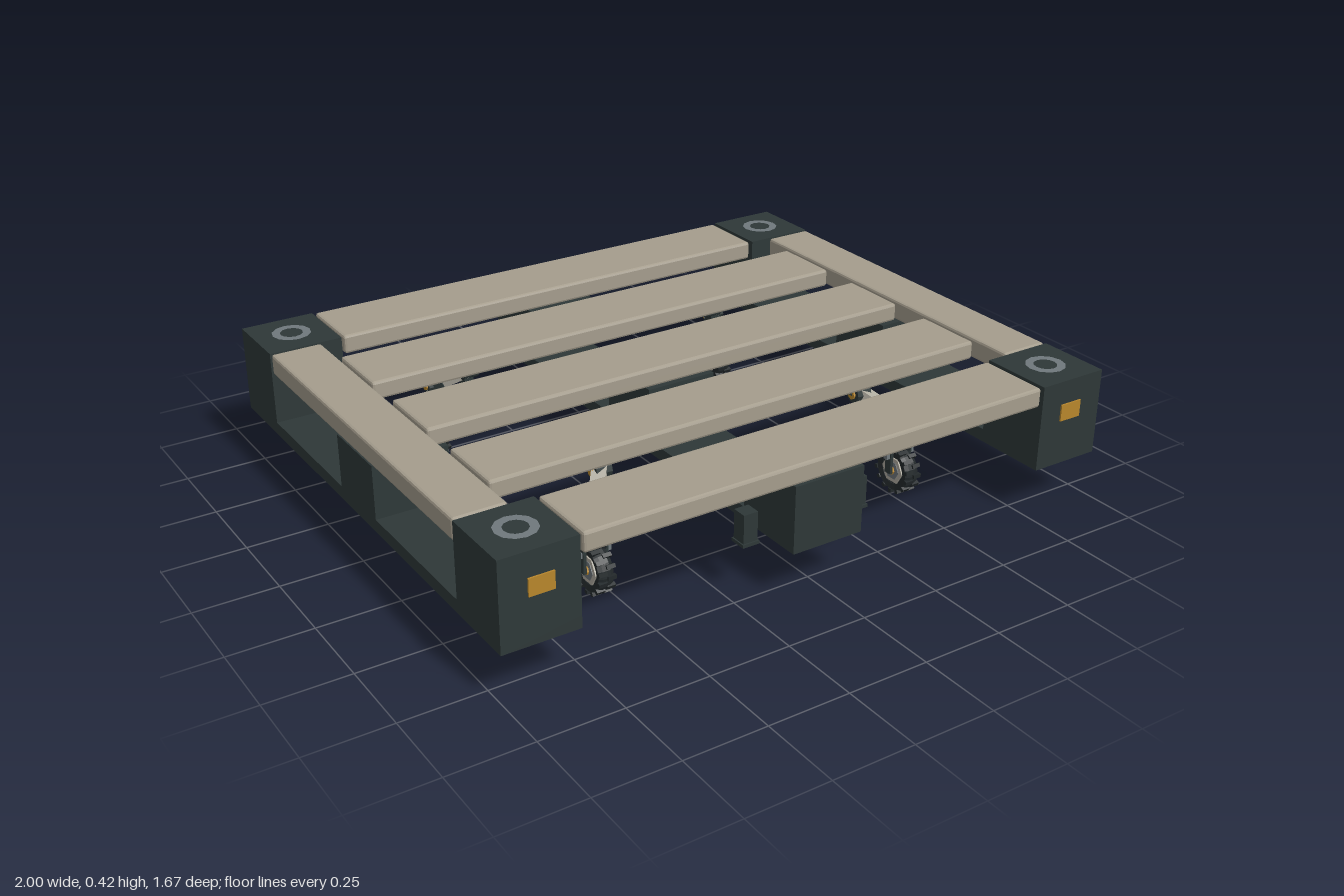
import * as THREE from 'three';
import { RoundedBoxGeometry } from 'three/addons/geometries/RoundedBoxGeometry.js';

const mat = (name, color) => {
  const m = new THREE.MeshStandardMaterial({ color, flatShading: true });
  m.name = name;
  return m;
};

export function createModel() {
  const root = new THREE.Group();
  root.name = 'pallet';
  const frame = mat('dark frame', 0x2e3838);
  const board = mat('beige board', 0xa59d8d);
  const amber = mat('amber', 0xb8862c);
  const steel = mat('grey steel', 0x70787c);
  const rubber = mat('black rubber', 0x23292b);
  const light = mat('pale metal', 0xb0aca0);

  const add = (parent, name, geo, m, x = 0, y = 0, z = 0) => {
    const mesh = new THREE.Mesh(geo, m);
    mesh.name = name;
    mesh.position.set(x, y, z);
    parent.add(mesh);
    return mesh;
  };
  const box = (parent, name, m, w, h, d, x, y, z) =>
    add(parent, name, new THREE.BoxGeometry(w, h, d), m, x, y, z);
  const plank = (name, w, h, d, x, y, z) =>
    add(root, name, new RoundedBoxGeometry(w, h, d, 1, 0.008), board, x, y, z);
  // Cylinder lying along x
  const axleCyl = (parent, name, m, r, len, sides, x, y, z) => {
    const c = add(parent, name, new THREE.CylinderGeometry(r, r, len, sides), m, x, y, z);
    c.rotation.z = Math.PI / 2;
    return c;
  };
  // Square bar running between two points
  const bar = (parent, name, m, a, b, w, h) => {
    const s = box(parent, name, m, w, h, a.distanceTo(b), 0, 0, 0);
    s.position.copy(a).lerp(b, 0.5);
    s.lookAt(b);
    return s;
  };

  // Three runners with their support blocks
  for (const x of [-0.885, 0, 0.885]) {
    box(root, 'runner', frame, 0.23, 0.04, 1.66, x, 0.17, 0);
    box(root, 'middleBlock', frame, 0.23, 0.165, 0.23, x, 0.2725, 0);
    const top = x === 0 ? 0.355 : 0.418;
    for (const s of [-1, 1]) {
      box(root, x === 0 ? 'centreEndBlock' : 'cornerBlock', frame,
        0.23, top - 0.19, 0.23, x, (top + 0.19) / 2, s * 0.715);
    }
  }

  // Corner fittings: top ring and amber plate
  for (const sx of [-1, 1]) for (const sz of [-1, 1]) {
    const ring = add(root, 'cornerRing', new THREE.RingGeometry(0.035, 0.06, 12), steel,
      sx * 0.885, 0.42, sz * 0.715);
    ring.rotation.x = -Math.PI / 2;
    box(root, 'cornerPlate', amber, 0.075, 0.052, 0.008, sx * 0.882, 0.318, sz * 0.831);
  }

  // Deck boards
  for (const s of [-1, 1]) {
    plank('endBoard', 1.52, 0.06, 0.226, 0, 0.388, s * 0.716);
    plank('sideBoard', 0.158, 0.065, 1.19, s * 0.919, 0.386, 0);
  }
  for (const z of [-0.362, -0.006, 0.354]) plank('slat', 1.655, 0.058, 0.226, 0, 0.387, z);

  // Small hanging posts beside the centre runner
  for (const sx of [-1, 1]) for (const sz of [-1, 1]) {
    box(root, 'post', frame, 0.046, 0.09, 0.046, sx * 0.187, 0.207, sz * 0.71);
    box(root, 'postFoot', frame, 0.054, 0.01, 0.054, sx * 0.187, 0.159, sz * 0.71);
  }

  // Wheel: rubber tyre with staggered lugs, hexagonal rim and hub
  const tyreProfile = [[0.046, -0.02], [0.064, -0.024], [0.07, -0.012], [0.07, 0.012],
    [0.064, 0.024], [0.046, 0.02], [0.046, -0.02]].map(([r, y]) => new THREE.Vector2(r, y));
  const tyreGeo = new THREE.LatheGeometry(tyreProfile, 20);
  const lugGeo = new THREE.BoxGeometry(0.027, 0.012, 0.012);
  function addWheel(parent, x, y, z) {
    const wheel = new THREE.Group();
    wheel.name = 'wheel';
    wheel.position.set(x, y, z);
    parent.add(wheel);
    add(wheel, 'tyre', tyreGeo, rubber).rotation.z = Math.PI / 2;
    for (let i = 0; i < 28; i++) {
      const a = (i / 28) * Math.PI * 2;
      const lug = add(wheel, 'treadLug', lugGeo, rubber,
        (i % 2 ? 1 : -1) * 0.014, Math.cos(a) * 0.069, Math.sin(a) * 0.069);
      lug.rotation.x = a;
    }
    axleCyl(wheel, 'wheelDisc', rubber, 0.05, 0.034, 20, 0, 0, 0);
    axleCyl(wheel, 'rim', light, 0.045, 0.044, 6, 0, 0, 0);
    axleCyl(wheel, 'rimRecess', steel, 0.031, 0.048, 6, 0, 0, 0);
    axleCyl(wheel, 'hub', amber, 0.014, 0.06, 8, 0, 0, 0);
  }

  // Four folding wheel legs
  for (const sx of [-1, 1]) for (const sz of [-1, 1]) {
    const leg = new THREE.Group();
    leg.name = 'wheelLeg';
    root.add(leg);
    const p = (x, y, z) => new THREE.Vector3(sx * x, y, sz * z);
    const hip = p(0.452, 0.312, 0.392), knee = p(0.525, 0.246, 0.485);
    const ankle = p(0.535, 0.15, 0.492);

    box(leg, 'mountPlate', frame, 0.15, 0.01, 0.15, sx * 0.375, 0.352, sz * 0.35);
    box(leg, 'hipBracket', frame, 0.03, 0.1, 0.035, sx * 0.458, 0.292, sz * 0.392);
    bar(leg, 'hipArm', frame, p(0.4, 0.35, 0.36), hip, 0.04, 0.03);
    axleCyl(leg, 'hipJoint', frame, 0.028, 0.05, 10, hip.x, hip.y, hip.z);
    axleCyl(leg, 'hipCap', amber, 0.015, 0.062, 8, hip.x, hip.y, hip.z);
    bar(leg, 'upperLeg', light, hip, knee, 0.042, 0.042);
    bar(leg, 'upperLegSleeve', frame, hip.clone().lerp(knee, 0.68), knee, 0.05, 0.05);
    axleCyl(leg, 'kneeJoint', frame, 0.025, 0.056, 10, knee.x, knee.y, knee.z);
    axleCyl(leg, 'kneeCap', amber, 0.014, 0.066, 8, knee.x, knee.y, knee.z);
    bar(leg, 'lowerLeg', light, knee, p(0.533, 0.18, 0.49), 0.045, 0.038);
    bar(leg, 'ankle', frame, p(0.532, 0.195, 0.49), ankle, 0.035, 0.036);

    // Fork around the wheel
    box(leg, 'forkBridge', frame, 0.08, 0.014, 0.036, ankle.x, 0.157, ankle.z);
    for (const s of [-1, 1]) {
      box(leg, 'forkBlade', frame, 0.01, 0.09, 0.024, ankle.x + s * 0.035, 0.117, ankle.z);
      box(leg, 'forkLug', steel, 0.014, 0.016, 0.016, ankle.x + s * 0.045, 0.13, ankle.z);
    }
    addWheel(leg, ankle.x, 0.078, ankle.z);
  }
  return root;
}
